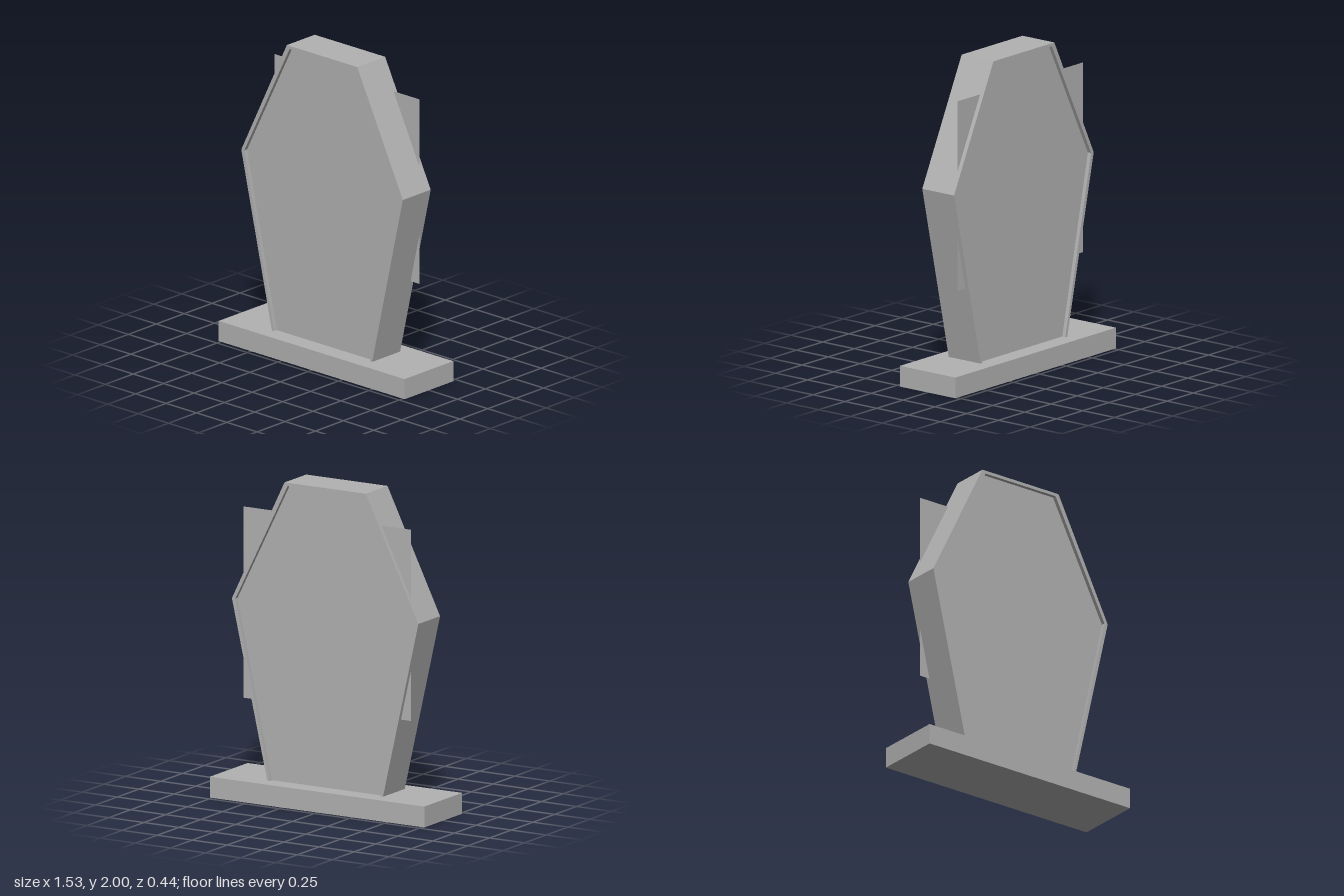
import * as THREE from 'three';

export function createModel() {
  const group = new THREE.Group();
  const grey = new THREE.MeshStandardMaterial({ color: 0xb2b2b2 });
  grey.name = 'plain grey';
  const greySheet = new THREE.MeshStandardMaterial({ color: 0xb2b2b2, side: THREE.DoubleSide });
  greySheet.name = 'plain grey sheet';

  const add = (name, geometry, material = grey) => {
    const mesh = new THREE.Mesh(geometry, material);
    mesh.name = name;
    group.add(mesh);
    return mesh;
  };

  // Right half of each outline, bottom to top, mirrored into a full path
  const mirrored = (half) => [
    ...half.map(([x, y]) => new THREE.Vector2(x, y)),
    ...half.slice().reverse().map(([x, y]) => new THREE.Vector2(-x, y)),
  ];
  const outer = mirrored([[0.413, 0.13], [0.665, 1.235], [0.29, 2]]);
  const inner = mirrored([[0.395, 0.13], [0.64, 1.235], [0.267, 1.98]]);

  const slab = (points, depth) => {
    const g = new THREE.ExtrudeGeometry(new THREE.Shape(points), { depth, bevelEnabled: false });
    return g.translate(0, 0, -depth / 2);
  };

  // Base block
  add('base', new THREE.BoxGeometry(1.53, 0.13, 0.436)).position.y = 0.065;

  // Raised rim, open where it meets the base
  add('rim', slab([...outer, ...inner.slice().reverse()], 0.25));

  // Body, recessed behind the rim on front and back
  add('recessedBody', slab(inner, 0.2));

  // Thin sheet whose corners stick out at the sides
  add('backSheet', new THREE.PlaneGeometry(1.195, 1.19), greySheet).position.set(0, 1.213, -0.098);

  return group;
}
